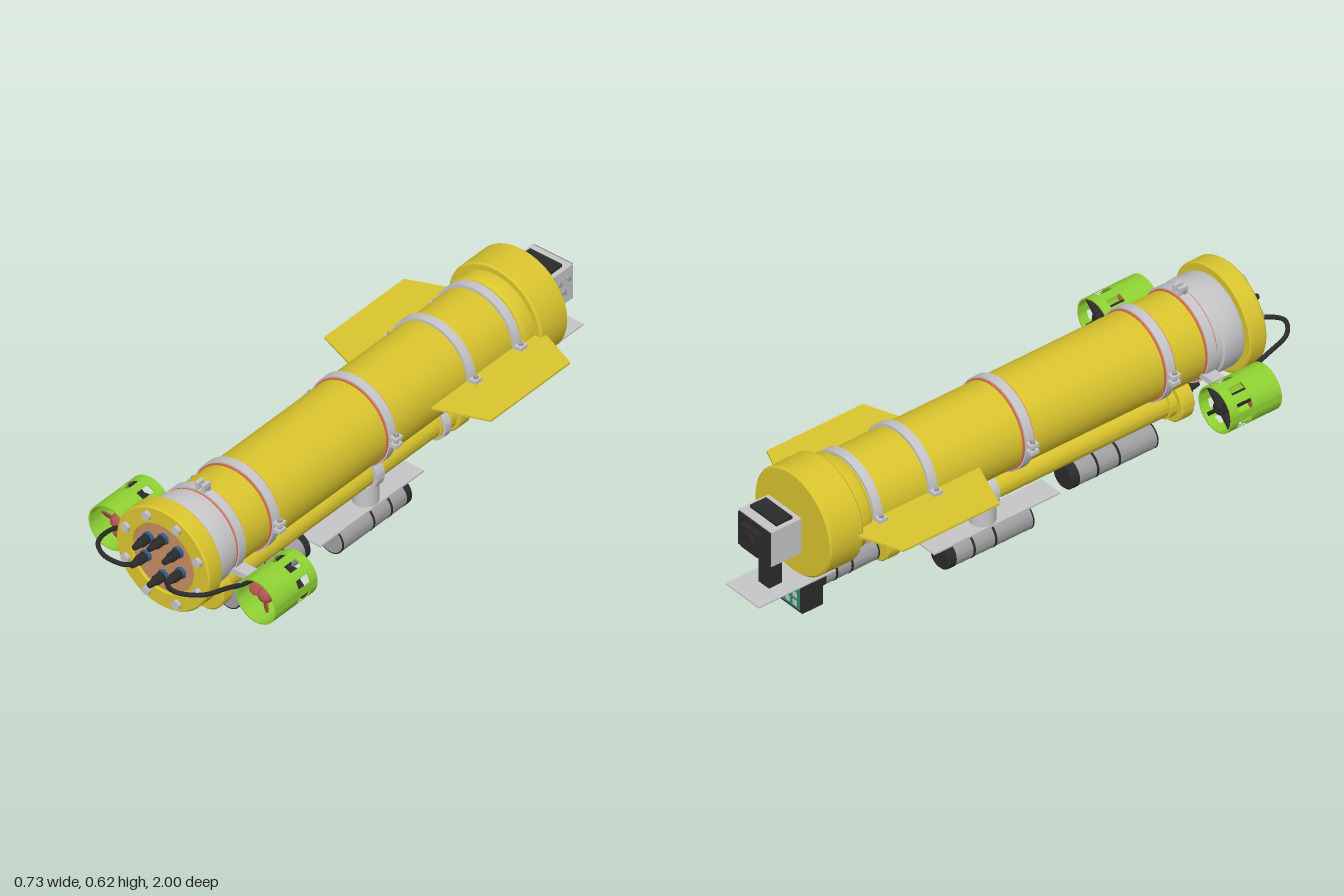
import * as THREE from 'three';
import { toCreasedNormals } from 'three/addons/utils/BufferGeometryUtils.js';

const material = (name, color, extra = {}) => new THREE.MeshStandardMaterial({ name, color, ...extra });

export function createModel() {
  const yellow = material('hull yellow', 0xdac52e);
  const copper = material('copper', 0xc48c60);
  const lime = material('thruster green', 0x8fd233, { side: THREE.DoubleSide });
  const red = material('propeller red', 0xb4544c);
  const silver = material('light silver', 0xc6c6c8);
  const grey = material('housing grey', 0xa0a0a2);
  const black = material('black', 0x2b2b2c);
  const blue = material('connector blue', 0x2f5f96);
  const orange = material('liner orange', 0xdc6a4c);
  const board = material('board green', 0x2f8f6c);

  const root = new THREE.Group();
  root.name = 'underwaterVehicle';
  const HULL_Y = 0.443, POD_Y = 0.222;

  const add = (parent, name, geo, mat, x = 0, y = 0, z = 0) => {
    const mesh = new THREE.Mesh(geo, mat);
    mesh.name = name;
    mesh.position.set(x, y, z);
    parent.add(mesh);
    return mesh;
  };
  const group = (name, x = 0, y = 0, z = 0, parent = root) => {
    const g = new THREE.Group();
    g.name = name;
    g.position.set(x, y, z);
    parent.add(g);
    return g;
  };
  // Turned part along z; points are [radius, z], running towards +z on the outside
  const turned = (points, segments = 56, start = 0, length = Math.PI * 2) =>
    toCreasedNormals(new THREE.LatheGeometry(points.map(p => new THREE.Vector2(...p)), segments, start, length)
      .rotateX(Math.PI / 2), 0.55);
  const solid = (r, z0, z1, c = 0.004, segments = 56) =>
    turned([[0, z0], [r - c, z0], [r, z0 + c], [r, z1 - c], [r - c, z1], [0, z1]], segments);
  const ring = (ri, ro, z0, z1, ...arc) => turned([[ri, z0], [ro, z0], [ro, z1], [ri, z1], [ri, z0]], ...arc);
  const rod = (r0, r1, len, n = 6) => new THREE.CylinderGeometry(r1, r0, len, n).rotateX(Math.PI / 2);
  const box = (w, h, d) => new THREE.BoxGeometry(w, h, d);

  // Main hull with stepped rear cap and bolted front flange
  const hull = group('hull', 0, HULL_Y, 0);
  add(hull, 'hullTube', solid(0.146, -0.68, 0.83), yellow);
  add(hull, 'rearCap', turned([[0, -0.805], [0.176, -0.805], [0.182, -0.799], [0.182, -0.681], [0.176, -0.675],
    [0.158, -0.675], [0.158, -0.63], [0.152, -0.62], [0.14, -0.62]]), yellow);
  add(hull, 'frontCollar', turned([[0.14, 0.725], [0.151, 0.725], [0.151, 0.745], [0.158, 0.75],
    [0.158, 0.815], [0.152, 0.83]]), silver);
  add(hull, 'frontFlange', turned([[0.14, 0.828], [0.177, 0.828], [0.182, 0.833], [0.182, 0.888], [0.177, 0.894],
    [0.123, 0.894], [0.12, 0.891], [0.12, 0.875]]), yellow);
  add(hull, 'frontPlate', solid(0.121, 0.84, 0.885, 0.001), copper);
  for (let i = 0; i < 8; i++) {
    const a = (i + 0.5) * Math.PI / 4;
    add(hull, 'flangeBolt', rod(0.017, 0.016, 0.014), silver, 0.152 * Math.cos(a), 0.152 * Math.sin(a), 0.899);
  }

  // Sealed cable connectors
  function connector(parent, x, y, z) {
    const g = group('connector', x, y, z, parent);
    add(g, 'connectorNut', rod(0.02, 0.02, 0.012), blue, 0, 0, 0.006);
    add(g, 'connectorBody', rod(0.0165, 0.0165, 0.03, 12), black, 0, 0, 0.026);
    add(g, 'connectorTip', rod(0.014, 0.009, 0.032, 12), black, 0, 0, 0.057);
  }
  for (const [x, y] of [[0, 0.074], [-0.058, 0.052], [0.058, 0.052], [-0.068, -0.021], [0.068, -0.021], [0, -0.063]])
    connector(hull, x, y, 0.885);

  // Hull clamps with paired, bolted lugs
  function clamp(parent, z, r, turn, lined, width = 0.032) {
    const g = group('clamp', 0, 0, z, parent);
    g.rotation.z = turn;
    add(g, 'clampBand', ring(r - 0.008, r + 0.008, -width / 2, width / 2), silver);
    if (lined) add(g, 'clampLiner', ring(r - 0.008, r + 0.003, -width / 2 - 0.005, width / 2 + 0.005), orange);
    for (const s of [-1, 1]) {
      for (const t of [-1, 1])
        add(g, 'clampLug', box(0.034, 0.012, width), silver, s * (r + 0.016), t * 0.012, 0);
      add(g, 'clampBolt', new THREE.CylinderGeometry(0.008, 0.008, 0.052, 6), grey, s * (r + 0.02), 0, 0);
    }
  }
  clamp(hull, 0.703, 0.148, Math.PI / 2, true);
  clamp(hull, 0.543, 0.148, 0, true);
  clamp(hull, -0.008, 0.148, 0, true);
  clamp(hull, -0.383, 0.148, 0, false);
  clamp(hull, -0.597, 0.148, 0, false);

  // Side fins, extruded from a half plan
  for (const s of [-1, 1]) {
    const plan = new THREE.Shape([[0.13, -0.72], [0.18, -0.70], [0.325, -0.64], [0.325, -0.265], [0.148, -0.198], [0.13, -0.198]]
      .map(([x, z]) => new THREE.Vector2(s * x, -z)));
    add(root, s > 0 ? 'leftFin' : 'rightFin', new THREE.ExtrudeGeometry(plan, { depth: 0.007, bevelEnabled: false })
      .rotateX(-Math.PI / 2), yellow, 0, HULL_Y - 0.0035, 0);
  }

  // Thrusters: slotted duct, motor on crossed struts, four-bladed propeller
  add(root, 'thrusterCrossbar', box(0.424, 0.02, 0.046), silver, 0, 0.366, 0.703);
  for (const s of [-1, 1]) {
    const t = group(s > 0 ? 'leftThruster' : 'rightThruster', s * 0.288, 0.366, 0);
    add(t, 'ductFront', ring(0.073, 0.078, 0.69, 0.8), lime);
    add(t, 'ductRear', ring(0.073, 0.078, 0.603, 0.635), lime);
    for (let i = 0; i < 8; i++)
      add(t, 'ductPost', ring(0.073, 0.078, 0.635, 0.69, 5, i * Math.PI / 4 - 0.19, 0.38), lime);
    add(t, 'motor', solid(0.023, 0.61, 0.745, 0.005, 24), black);
    for (const a of [Math.PI / 4, -Math.PI / 4])
      add(t, 'strut', box(0.148, 0.012, 0.028), black, 0, 0, 0.63).rotation.z = a;
    const prop = group('propeller', 0, 0, 0.752, t);
    add(prop, 'propellerHub', new THREE.SphereGeometry(0.026, 24, 16), red);
    for (let i = 0; i < 4; i++) {
      const blade = group('blade', 0, 0, 0, prop);
      blade.rotation.z = i * Math.PI / 2;
      const b = add(blade, 'propellerBlade', new THREE.SphereGeometry(1, 20, 12), red, 0, 0.042, 0);
      b.scale.set(0.019, 0.024, 0.004);
      b.rotation.y = s * 0.5;
    }
    // Power cable looping from the front plate to the duct
    const path = new THREE.CatmullRomCurve3([[0.068, 0.422, 0.94], [0.085, 0.426, 0.97], [0.145, 0.441, 0.99],
      [0.205, 0.44, 0.95], [0.228, 0.425, 0.86], [0.222, 0.39, 0.78], [0.212, 0.366, 0.71]]
      .map(([x, y, z]) => new THREE.Vector3(s * x, y, z)));
    add(root, 'thrusterCable', new THREE.TubeGeometry(path, 48, 0.0075, 10), black);
  }

  // Slim lower pod
  const pod = group('lowerPod', 0, POD_Y, 0);
  add(pod, 'podTube', solid(0.048, -0.45, 0.66), yellow);
  add(pod, 'podFrontCap', turned([[0.045, 0.62], [0.056, 0.622], [0.056, 0.648], [0.072, 0.648], [0.077, 0.653],
    [0.077, 0.695], [0.072, 0.7], [0, 0.7]]), yellow);
  add(pod, 'podRearCap', turned([[0, -0.487], [0.062, -0.487], [0.066, -0.483], [0.066, -0.435], [0.062, -0.43],
    [0.054, -0.43], [0.054, -0.36], [0.045, -0.358]]), yellow);
  connector(pod, 0, 0, 0.7);
  add(pod, 'podRearClamp', ring(0.045, 0.063, -0.397, -0.367), silver);
  add(pod, 'podMiddleClamp', ring(0.045, 0.062, -0.083, -0.047), silver);

  // Cylindrical instrument housings: front end z1, rear end z0
  function housing(name, y, z0, z1, r) {
    const g = group(name, 0, y, 0);
    add(g, 'housingBody', solid(r, z0 + 0.015, z1, 0.005), grey);
    add(g, 'housingEnd', turned([[0, z0], [r - 0.006, z0], [r, z0 + 0.006], [r + 0.001, z0 + 0.03], [r - 0.01, z0 + 0.03]]), black);
    for (const f of [0.3, 0.55])
      add(g, 'housingSeal', ring(r - 0.005, r + 0.001, z0 + f * (z1 - z0) - 0.004, z0 + f * (z1 - z0) + 0.004), black);
    add(g, 'housingRim', ring(r - 0.005, r + 0.0005, z1 - 0.007, z1 - 0.002), black);
  }
  housing('frontHousing', 0.123, 0.245, 0.583, 0.047);
  housing('middleHousing', 0.048, -0.235, 0.1, 0.047);
  housing('rearHousing', 0.212, -0.74, -0.5, 0.045);
  add(root, 'middlePlate', box(0.088, 0.006, 0.49), silver, 0, 0.104, -0.045);
  add(root, 'middlePost', new THREE.CylinderGeometry(0.042, 0.042, 0.075, 32), silver, 0, 0.142, -0.066);

  // Rear lamp with a board of light squares
  const lamp = group('rearLamp', 0, 0.2, -0.78);
  add(lamp, 'lampBox', box(0.13, 0.115, 0.08), black);
  add(lamp, 'lampBoard', box(0.11, 0.097, 0.004), board, 0, 0, -0.041);
  for (let i = -1; i <= 1; i++) for (let j = -1; j <= 1; j++)
    add(lamp, 'lampSquare', box(0.02, 0.018, 0.004), silver, i * 0.034, j * 0.03, -0.043);

  // Rear camera on its plate and post
  add(root, 'rearPlate', box(0.158, 0.005, 0.3), silver, 0, 0.258, -0.85);
  const camera = group('rearCamera', 0, 0.452, -0.892);
  add(camera, 'cameraPost', box(0.05, 0.135, 0.05), black, 0, -0.13, 0);
  add(camera, 'cameraBody', box(0.158, 0.128, 0.116), silver);
  add(camera, 'cameraTopPanel', box(0.125, 0.016, 0.062), black, 0, 0.066, 0.004);
  add(camera, 'cameraTopScreen', box(0.1, 0.003, 0.044), grey, 0, 0.0745, 0.004).material = black;
  add(camera, 'cameraFace', box(0.15, 0.12, 0.008), black, 0, 0, -0.06);
  add(camera, 'lensBlock', box(0.08, 0.085, 0.02), black, 0, 0, -0.072);
  add(camera, 'lens', rod(0.032, 0.032, 0.01, 28), black, 0, 0, -0.085);
  add(camera, 'cameraFrontMount', box(0.03, 0.04, 0.04), black, 0, 0, 0.07);
  for (const [y, z] of [[0.03, -0.03], [0.03, 0.012], [-0.01, -0.008]])
    add(camera, 'cameraButton', new THREE.CylinderGeometry(0.008, 0.008, 0.014, 16).rotateZ(Math.PI / 2), grey, 0.084, y, z);

  return root;
}
